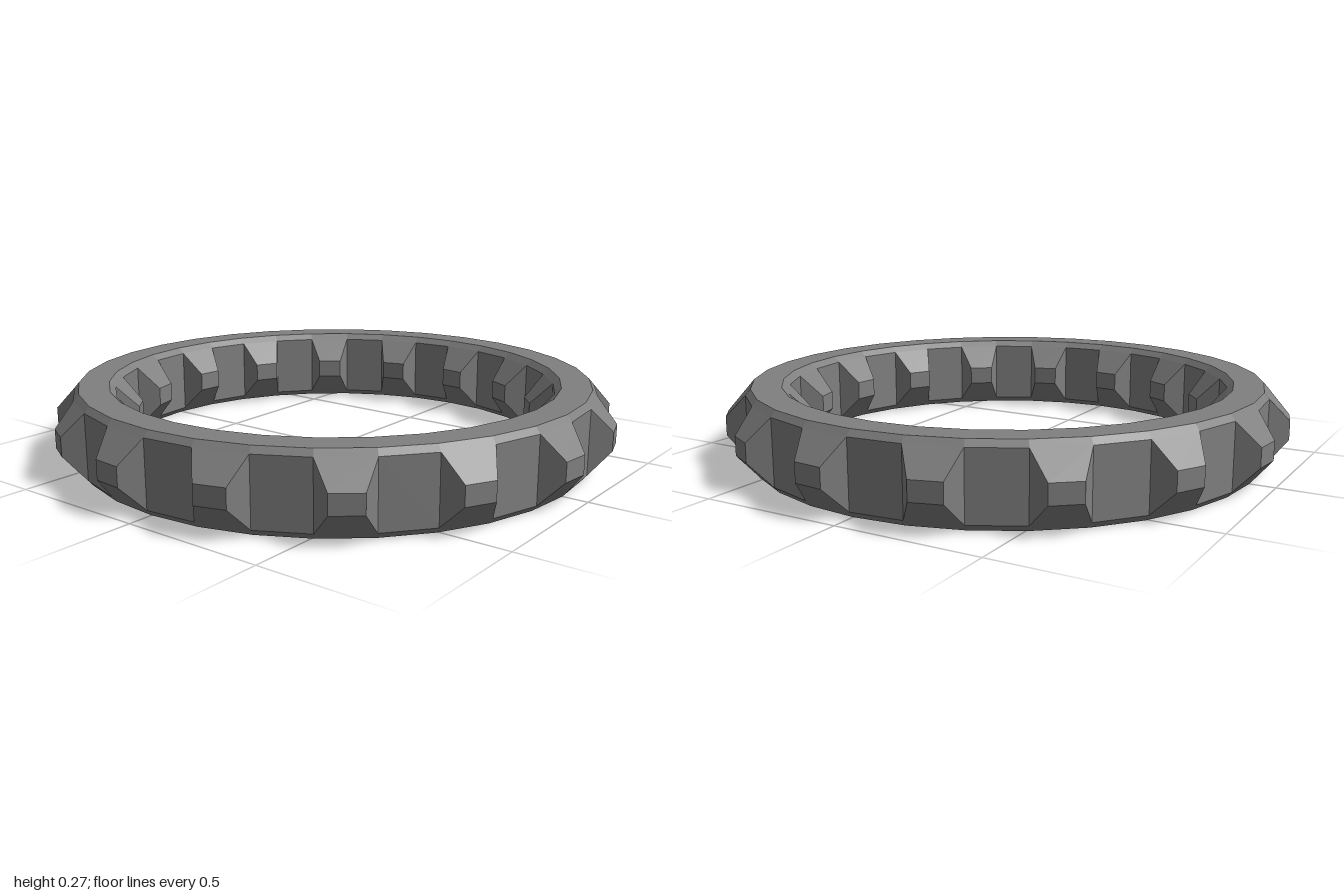
import * as THREE from 'three';

const SEGMENTS = 32, HALF = Math.PI / SEGMENTS, MID = 0.135;
const OUTER = 0.93, INNER = 0.785, BAND = 0.228;

// Frustum on one facet of the ring: base on the facet, tapered to a small tip
function studGeometry(radius, tipRadius) {
  const base = radius * Math.cos(HALF);
  const width = 2 * radius * Math.sin(HALF);
  const depth = Math.abs(tipRadius - base);
  const geo = new THREE.BoxGeometry(width, BAND, depth);
  const pos = geo.attributes.position;
  for (let i = 0; i < pos.count; i++) {
    if (pos.getZ(i) > 0) {
      pos.setX(i, pos.getX(i) * 0.58);
      pos.setY(i, pos.getY(i) * 0.29);
    }
  }
  if (tipRadius < base) geo.rotateY(Math.PI);
  geo.translate(0, MID, (base + tipRadius) / 2);
  geo.computeVertexNormals();
  return geo;
}

export function createModel() {
  const group = new THREE.Group();
  const grey = new THREE.MeshStandardMaterial({ color: 0x808080, flatShading: true });
  grey.name = 'grey';

  // Ring with bevelled rims
  const profile = [
    [0.807, 0], [0.912, 0], [OUTER, 0.021], [OUTER, 0.249],
    [0.912, 0.27], [0.807, 0.27], [INNER, 0.249], [INNER, 0.021], [0.807, 0],
  ].map(([r, y]) => new THREE.Vector2(r, y));
  const ring = new THREE.Mesh(new THREE.LatheGeometry(profile, SEGMENTS), grey);
  ring.name = 'ring';
  group.add(ring);

  // Studs on every second facet, outside and inside
  const outerGeo = studGeometry(OUTER, 0.999);
  const innerGeo = studGeometry(INNER, 0.707);
  for (let i = 0; i < SEGMENTS / 2; i++) {
    for (const [name, geo] of [['outerStud', outerGeo], ['innerStud', innerGeo]]) {
      const stud = new THREE.Mesh(geo, grey);
      stud.name = name;
      stud.rotation.y = HALF * (4 * i - 1);
      group.add(stud);
    }
  }
  return group;
}
